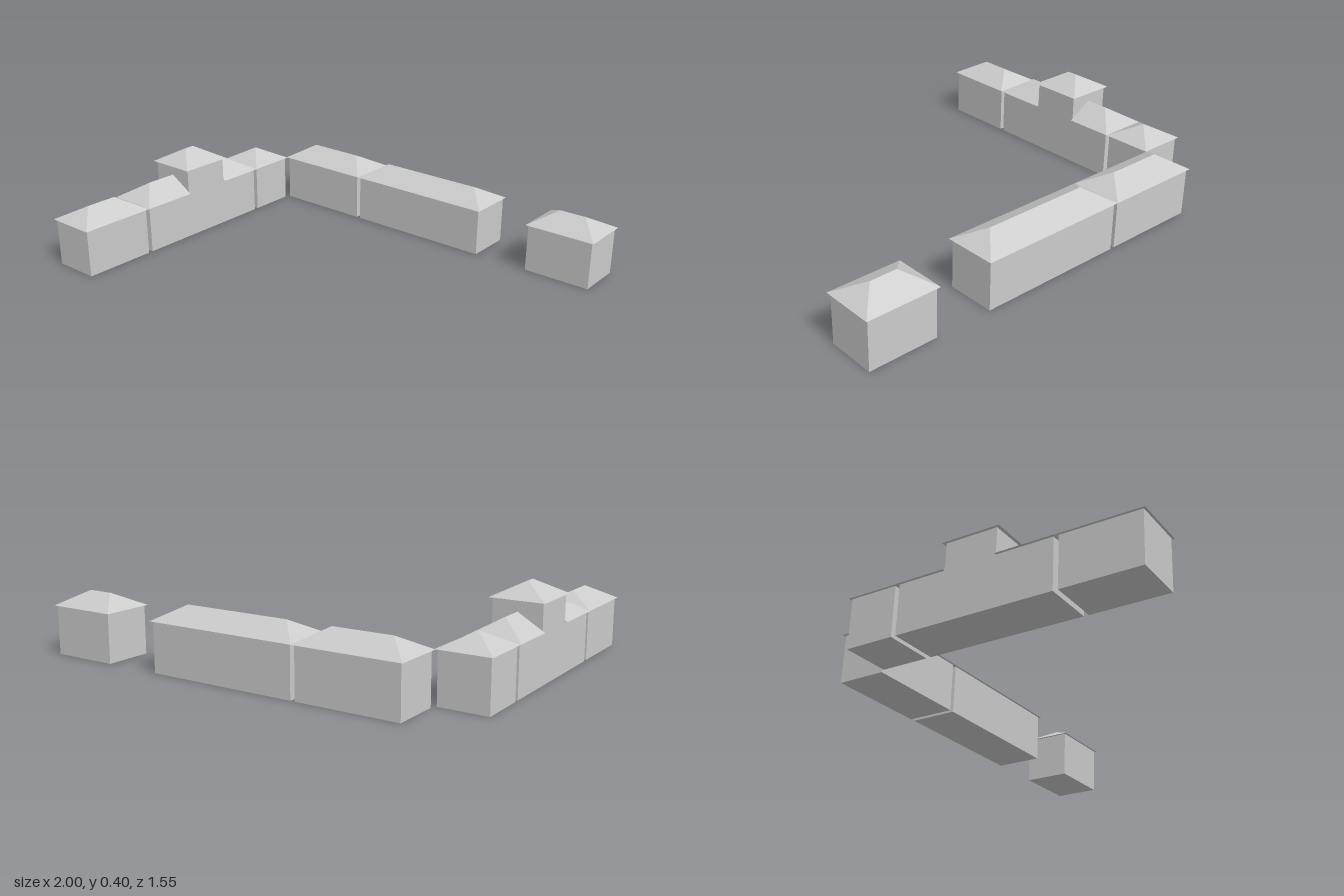
import * as THREE from 'three';
import { ConvexGeometry } from 'three/addons/geometries/ConvexGeometry.js';

const EAVE = 0.22, RIDGE = 0.282;

export function createModel() {
  const model = new THREE.Group();
  const material = new THREE.MeshStandardMaterial({ color: 0xcccccc, flatShading: true });

  function add(parent, name, geometry) {
    const mesh = new THREE.Mesh(geometry, material);
    mesh.name = name;
    parent.add(mesh);
    return mesh;
  }

  function group(name) {
    const g = new THREE.Group();
    g.name = name;
    model.add(g);
    return g;
  }

  // Roof over a rectangle [x0, x1, z0, z1], rising to a ridge from a to b ([x, z] each)
  function addRoof(parent, name, [x0, x1, z0, z1], a, b, y0 = EAVE, y1 = RIDGE) {
    const points = [[x0, y0, z0], [x1, y0, z0], [x1, y0, z1], [x0, y0, z1], [a[0], y1, a[1]]];
    if (a[0] !== b[0] || a[1] !== b[1]) points.push([b[0], y1, b[1]]);
    return add(parent, name, new ConvexGeometry(points.map(p => new THREE.Vector3(...p))));
  }

  // Plain block: box walls under a slightly overhanging hipped roof
  function addHouse(name, [x0, x1, z0, z1], a, b) {
    const g = group(name), o = 0.01;
    const walls = add(g, 'walls', new THREE.BoxGeometry(x1 - x0, EAVE, z1 - z0));
    walls.position.set((x0 + x1) / 2, EAVE / 2, (z0 + z1) / 2);
    addRoof(g, 'roof', [x0 - o, x1 + o, z0 - o, z1 + o], a, b);
  }

  // Back row, ridges along x
  const rowZ = -0.656;
  for (const [name, x0, x1] of [
    ['backRowShortHouse', -0.76, -0.3],
    ['backRowLongHouse', -0.28, 0.415],
    ['detachedHouse', 0.677, 0.988],
  ]) addHouse(name, [x0, x1, -0.765, -0.548], [x0 + 0.095, rowZ], [x1 - 0.095, rowZ]);

  // Side row, ridges along z
  const cx = -0.881, wx0 = -0.989, wx1 = -0.773;
  addHouse('sideRowFrontHouse', [wx0, wx1, 0.425, 0.761], [cx, 0.52], [cx, 0.664]);
  addHouse('sideRowRearHouse', [wx0, wx1, -0.526, -0.31], [cx, -0.418], [cx, -0.418]);

  // Main house with a tower rising flush from its walls
  const main = group('mainHouse');
  const z0 = -0.289, z1 = 0.404, t0 = -0.074, t1 = 0.157, towerTop = 0.338;
  const outline = [[z0, 0], [z1, 0], [z1, EAVE], [t1, EAVE], [t1, towerTop], [t0, towerTop], [t0, EAVE], [z0, EAVE]]
    .map(([z, y]) => new THREE.Vector2(-z, y));
  const walls = add(main, 'walls', new THREE.ExtrudeGeometry(new THREE.Shape(outline), { depth: wx1 - wx0, bevelEnabled: false }));
  walls.rotation.y = Math.PI / 2;
  walls.position.x = wx0;

  // Hipped roofs either side, ending against the tower
  addRoof(main, 'frontRoof', [-1, -0.762, t1, 0.414], [cx, t1], [cx, 0.304], EAVE, 0.291);
  addRoof(main, 'rearRoof', [-1, -0.762, -0.3, t0], [cx, -0.182], [cx, t0], EAVE, 0.291);
  addRoof(main, 'towerRoof', [-1, -0.76, -0.088, 0.171], [cx, 0.019], [cx, 0.065], towerTop, 0.402);

  return model;
}
